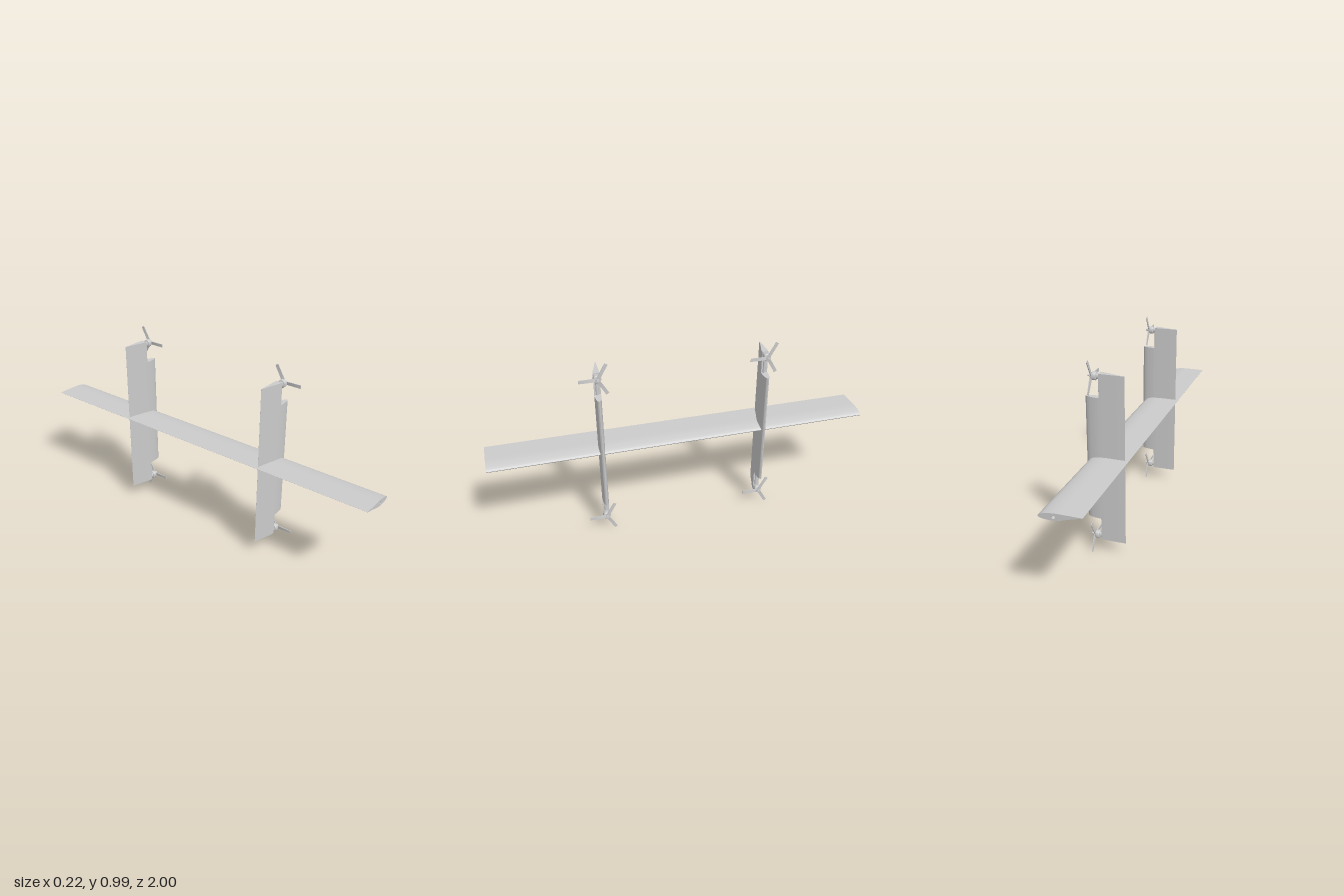
import * as THREE from 'three';
import { toCreasedNormals } from 'three/addons/utils/BufferGeometryUtils.js';

const MID = 0.497;
const material = new THREE.MeshStandardMaterial({ color: 0xcccccc });

// Airfoil outline: flat upper side, bellied lower side, sharp tail
const foil = new THREE.CatmullRomCurve3([
  [-0.108, 0.018], [-0.04, 0.0185], [0.02, 0.018], [0.05, 0.0145], [0.075, 0.008],
  [0.0895, -0.002], [0.084, -0.009], [0.06, -0.0145], [0.03, -0.0155], [0, -0.0125],
  [-0.05, 0.002], [-0.108, 0.0175],
].map(([x, y]) => new THREE.Vector3(x, y, 0)), false, 'centripetal')
  .getPoints(66).map(p => new THREE.Vector2(p.x, p.y)).reverse();

// Keep the part of the outline behind x = cut
function clip(points, cut) {
  const out = [];
  points.forEach((p, i) => {
    const q = points[(i + 1) % points.length];
    if (p.x <= cut) out.push(p);
    if ((p.x <= cut) !== (q.x <= cut)) out.push(p.clone().lerp(q, (cut - p.x) / (q.x - p.x)));
  });
  return out;
}

function panel(points, depth, hole) {
  const shape = new THREE.Shape(points);
  if (hole) shape.holes.push(new THREE.Path().absarc(0.02, 0, 0.0075, 0, Math.PI * 2, true));
  const geo = new THREE.ExtrudeGeometry(shape, { depth, bevelEnabled: false, curveSegments: 16 });
  return toCreasedNormals(geo, 0.6);
}

function add(parent, name, geo, x = 0, y = 0, z = 0) {
  const mesh = new THREE.Mesh(geo, material);
  mesh.name = name;
  mesh.position.set(x, y, z);
  parent.add(mesh);
  return mesh;
}

// Motor and three-bladed propeller, turning about x
function makeRotor() {
  const rotor = new THREE.Group();
  rotor.name = 'rotor';
  const profile = [
    [0, 0.026], [0.008, 0.026], [0.008, 0.034], [0.013, 0.036], [0.013, 0.049], [0.018, 0.05],
    [0.02, 0.053], [0.02, 0.069], [0.017, 0.073], [0.009, 0.075], [0.009, 0.083], [0.005, 0.084],
    [0.005, 0.092], [0, 0.094],
  ].map(([r, h]) => new THREE.Vector2(r, h));
  const body = toCreasedNormals(new THREE.LatheGeometry(profile, 24), 0.6);
  body.rotateZ(-Math.PI / 2);
  add(rotor, 'motor', body);

  // Blade along +y, thinner and less pitched towards the tip
  const blade = new THREE.BoxGeometry(0.005, 0.088, 0.017, 1, 6, 1);
  blade.translate(0, 0.047, 0);
  const pos = blade.attributes.position;
  for (let i = 0; i < pos.count; i++) {
    const t = pos.getY(i) / 0.091;
    const a = 0.22 * (1 - t);
    const x = pos.getX(i) * (1 - 0.5 * t), z = pos.getZ(i);
    pos.setX(i, x * Math.cos(a) + z * Math.sin(a));
    pos.setZ(i, z * Math.cos(a) - x * Math.sin(a));
  }
  blade.computeVertexNormals();
  const creased = toCreasedNormals(blade, 0.6);
  for (let k = 0; k < 3; k++) {
    add(rotor, 'propellerBlade', creased, 0.076).rotation.x = Math.PI / 2 + k * Math.PI * 2 / 3;
  }
  return rotor;
}

export function createModel() {
  const model = new THREE.Group();
  model.name = 'aircraft';

  // Long horizontal wing with a hollow spar bore
  add(model, 'mainWing', panel(foil, 2, true), 0, MID, -1);

  for (const z of [0.4275, -0.4325]) {
    const fin = new THREE.Group();
    fin.name = 'verticalWing';
    fin.position.set(0, MID, z);
    model.add(fin);

    // Full-chord middle panel, then cut-back tips
    const offset = 0.018, full = 0.313, tip = 0.429;
    const middle = panel(foil, 2 * full).rotateX(-Math.PI / 2);
    add(fin, 'verticalWingPanel', middle, offset, -full, 0);
    const tipGeo = panel(clip(foil, 0.018), tip - full).rotateX(-Math.PI / 2);
    for (const s of [1, -1]) {
      add(fin, 'verticalWingTip', tipGeo, offset, s > 0 ? full : -tip, 0);
      const rotor = makeRotor();
      rotor.position.y = s * 0.412;
      fin.add(rotor);
    }

    // Spar exposed in the notches, and the fairing where the wings cross
    add(fin, 'spar', new THREE.CylinderGeometry(0.0065, 0.0065, 0.84, 16), 0.0365);
    add(fin, 'jointFairing', new THREE.SphereGeometry(1, 24, 16), 0.028).scale.set(0.03, 0.023, 0.023);
  }
  return model;
}
